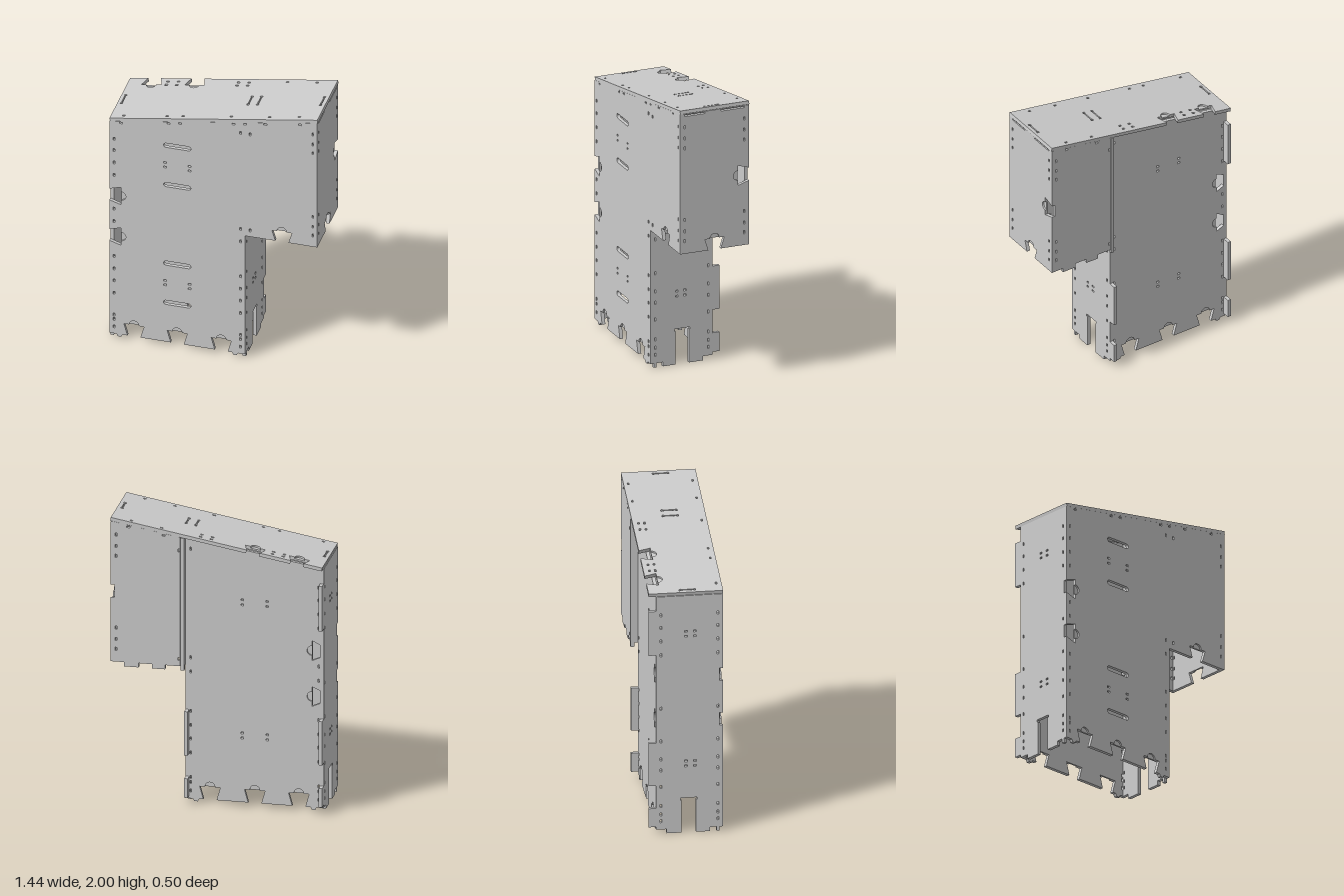
import * as THREE from 'three';

const T = 0.024;                       // sheet thickness
const SLOPE = 0.25 / 1.44;
const roofY = x => 1.875 + SLOPE * x;  // upper face of the sloping roof
const underRoof = x => roofY(x) - T * 1.03;

// Dovetail notch on a counter-clockwise outline edge running at angle a;
// the outer skin also gets a half-round recess behind the notch.
function dovetail(x, y, a, skin, depth = 0.09) {
  const pts = [[-0.045, 0], [-0.07, depth]];
  if (skin) {
    for (let i = 0; i <= 10; i++) {
      const t = Math.PI * (1 - i / 10);
      pts.push([Math.cos(t) * 0.034, depth + Math.sin(t) * 0.034]);
    }
  }
  pts.push([0.07, depth], [0.045, 0]);
  const c = Math.cos(a), s = Math.sin(a);
  return pts.map(([u, v]) => [x + u * c - v * s, y + u * s + v * c]);
}

// Rectangular and rounded slots, as hole outlines
const slot = (x, y, w, h) => [[x - w / 2, y - h / 2], [x - w / 2, y + h / 2], [x + w / 2, y + h / 2], [x + w / 2, y - h / 2]];
const peg = (x, y) => slot(x, y, 0.012, 0.022);
const pegColumn = (x, ys) => ys.map(y => peg(x, y));
const pegQuad = (x, y, dx, dy) => [-1, 1].flatMap(i => [-1, 1].map(j => slot(x + i * dx, y + j * dy, 0.02, 0.013)));
function roundSlot(x, y, w, h) {
  const pts = [], r = h / 2;
  for (let i = 0; i <= 16; i++) {
    const a = Math.PI / 2 + Math.PI * (i <= 8 ? i / 8 : (i - 1) / 7.5 );
    const k = i <= 8 ? -1 : 1;
    const b = i <= 8 ? a : -Math.PI / 2 + Math.PI * (i - 9) / 7;
    pts.push([x + k * (w / 2 - r) + Math.cos(b) * r, y + Math.sin(b) * r]);
  }
  return pts;
}

const material = new THREE.MeshStandardMaterial({ color: 0xcccccc, flatShading: true });
const vec = pts => pts.map(p => new THREE.Vector2(p[0], p[1]));

// A sheet of two layers; outline(skin) gives the outer or the inner layer.
// u and v are the sheet's axes, and it grows along u x v from origin.
function panel(name, outline, holes, origin, u, v, outerFirst) {
  const group = new THREE.Group();
  group.name = name;
  const X = new THREE.Vector3(...u), Y = new THREE.Vector3(...v);
  const Z = X.clone().cross(Y);
  [0, 1].forEach(layer => {
    const skin = (layer === 0) === outerFirst;
    const shape = new THREE.Shape(vec(outline(skin)));
    holes.forEach(h => shape.holes.push(new THREE.Path(vec(h))));
    const geo = new THREE.ExtrudeGeometry(shape, { depth: T / 2, bevelEnabled: false });
    geo.translate(0, 0, layer * T / 2);
    geo.applyMatrix4(new THREE.Matrix4().makeBasis(X, Y, Z).setPosition(...origin));
    const mesh = new THREE.Mesh(geo, material);
    mesh.name = name + (skin ? 'OuterLayer' : 'InnerLayer');
    group.add(mesh);
  });
  return group;
}
const facing = (name, outline, holes, z, outerFirst) => panel(name, outline, holes, [0, 0, z], [1, 0, 0], [0, 1, 0], outerFirst);
const upright = (name, outline, holes, x, outerFirst) => panel(name, outline, holes, [x, 0, 0], [0, 0, 1], [0, 1, 0], outerFirst);

export function createModel() {
  const model = new THREE.Group();
  const low = [0.085, 0.145, 0.18, 0.355, 0.455, 0.55, 0.65, 0.93, 1.03];
  const tall = [...low, 1.3, 1.4, 1.5, 1.59];
  const high = [1.07, 1.14, 1.22, 1.73, 1.8, 1.88];
  const feet = [-0.55, -0.25, 0.055];
  const nub = x => [[x - 0.02, 0.03], [x - 0.012, 0.012], [x + 0.012, 0.012], [x + 0.02, 0.03]];
  const baseEdge = skin => [...nub(-0.65), ...feet.flatMap(x => dovetail(x, 0.03, 0, skin)), ...nub(0.15)];
  const roofPegs = xs => xs.map(x => slot(x, roofY(x) - 0.038, 0.022, 0.012));
  const mounts = [...pegQuad(-0.25, 1.447, 0.085, 0.018), ...pegQuad(-0.25, 0.502, 0.085, 0.018)];

  // Front sheet, covering the tall body and the overhang
  model.add(facing('frontPanel', skin => [
    [-0.72, 0.03], ...baseEdge(skin), [0.22, 0.03], [0.22, 0.98],
    ...dovetail(0.475, 0.98, 0, skin, 0.08), [0.72, 0.98], [0.72, underRoof(0.72)], [-0.72, underRoof(-0.72)],
    ...[1.14, 0.815].flatMap(y => dovetail(-0.72, y, -Math.PI / 2, skin, 0.08)),
  ], [
    ...pegColumn(-0.688, tall), ...pegColumn(0.188, [...low, 1.8]), ...pegColumn(0.255, [1.03, 1.8]),
    ...pegColumn(0.69, high), ...mounts, ...roofPegs([-0.64, -0.31, -0.23, 0.14, 0.22, 0.36, 0.6]),
    ...[0.345, 0.66, 1.29, 1.605].map(y => roundSlot(-0.25, y, 0.19, 0.034)),
  ], 0.25 - T, false));

  // Recessed back sheet of the tall body
  model.add(facing('mainBackPanel', skin => [
    [-0.696, 0.03], ...baseEdge(skin), [0.196, 0.03], [0.196, underRoof(0.196)], [-0.696, underRoof(-0.696)],
    ...[1.14, 0.815].flatMap(y => dovetail(-0.696, y, -Math.PI / 2, skin, 0.056)),
  ], [
    ...pegColumn(-0.686, tall), ...pegColumn(0.186, [...low, 1.8]), ...mounts,
  ], -0.2, true));

  // Back sheet of the overhang, with tabs along its lower edge
  model.add(facing('overhangBackPanel', () => [
    [0.247, 0.98], [0.35, 0.98], [0.35, 0.95], [0.44, 0.95], [0.44, 0.98],
    [0.53, 0.98], [0.53, 0.95], [0.63, 0.95], [0.63, 0.98], [0.695, 0.98],
    [0.695, underRoof(0.695)], [0.247, underRoof(0.247)],
  ], [
    ...pegColumn(0.685, high), ...pegColumn(0.257, [1.03, 1.8]), ...roofPegs([0.36, 0.6]),
  ], -0.25, true));

  // Side walls of the tall body: cable slot below, tabs through the back
  const wall = (name, x, top, tabs) => {
    const outline = () => [
      [-0.2, 0.03], [-0.13, 0.03], [-0.13, 0], [-0.03, 0], [-0.03, 0.235], [-0.037, 0.235], [-0.037, 0.252],
      [0.075, 0.252], [0.075, 0.235], [0.067, 0.235], [0.067, 0], [0.16, 0], [0.16, 0.03], [0.205, 0.03], [0.205, 0],
      [0.226, 0], [0.226, top], [-0.2, top],
      ...tabs.flatMap(([a, b]) => [[-0.2, b], [-0.25, b], [-0.25, a], [-0.2, a]]),
    ];
    const ys = [0.09, 0.14, 0.2, 0.34, 0.46, 0.54, 0.67, 0.91, 1.3, 1.4, 1.5, 1.59];
    const holes = [...pegColumn(0.215, ys), ...pegColumn(-0.168, ys),
      ...pegQuad(0.03, 0.502, 0.03, 0.018), ...(x < 0 ? pegQuad(0.03, 1.447, 0.03, 0.018) : [])];
    model.add(upright(name, outline, holes, x, x > 0));
  };
  wall('rightWall', -0.72 + T, underRoof(-0.72), [[1.3, 1.62], [0.35, 0.66], [0.05, 0.185]]);
  wall('lowerLeftWall', 0.22, underRoof(0.196), [[0.35, 0.66], [0.05, 0.185]]);

  // Inner wall of the overhang, tabbed below
  model.add(upright('overhangInnerWall', () => [
    [-0.25, 0.95], [-0.225, 0.95], [-0.225, 0.98], [-0.13, 0.98], [-0.13, 0.95], [-0.05, 0.95], [-0.05, 0.98],
    [0.07, 0.98], [0.07, 0.95], [0.16, 0.95], [0.16, 0.98], [0.226, 0.98],
    [0.226, underRoof(0.221)], [-0.25, underRoof(0.221)],
  ], [], 0.221 + T, true));

  // Outer wall of the overhang
  model.add(upright('overhangOuterWall', skin => [
    [-0.25, 0.98], ...dovetail(0, 0.98, 0, skin, 0.08), [0.226, 0.98],
    [0.226, underRoof(0.7)], [-0.25, underRoof(0.7)], ...dovetail(-0.25, 1.48, -Math.PI / 2, skin, 0.08),
  ], [
    ...pegColumn(0.216, high), ...pegColumn(-0.216, high),
    slot(0.145, 1.961, 0.15, 0.01), slot(-0.13, 1.961, 0.17, 0.01),
  ], 0.72, true));

  // Sloping roof sheet
  const c = 1 / Math.hypot(1, SLOPE), s = SLOPE * c, end = 0.72 / c;
  const keyhole = x => [slot(x, -0.012, 0.009, 0.08), slot(x, 0.037, 0.018, 0.014), slot(x, -0.061, 0.018, 0.014)];
  model.add(panel('roof', skin => [
    [-end, -0.25], [end, -0.25], [end, 0.25],
    ...[-0.25, -0.55].flatMap(x => dovetail(x / c, 0.25, Math.PI, skin, 0.08)), [-end, 0.25],
  ], [
    ...[-0.63, -0.33, -0.22, 0.115, 0.38, 0.585].map(x => slot(x / c, -0.214, 0.02, 0.012)),
    ...[0.38, 0.585].map(x => slot(x / c, 0.218, 0.02, 0.012)),
    ...pegQuad(-0.41 / c, 0.19, 0.037, 0.02), ...pegQuad(0.08 / c, 0.19, 0.037, 0.02),
    ...[-0.69, 0.187, 0.252, 0.688].flatMap(x => keyhole(x / c)),
  ], [s * T, 1.875 - c * T, 0], [c, s, 0], [0, 0, -1], false));

  return model;
}
